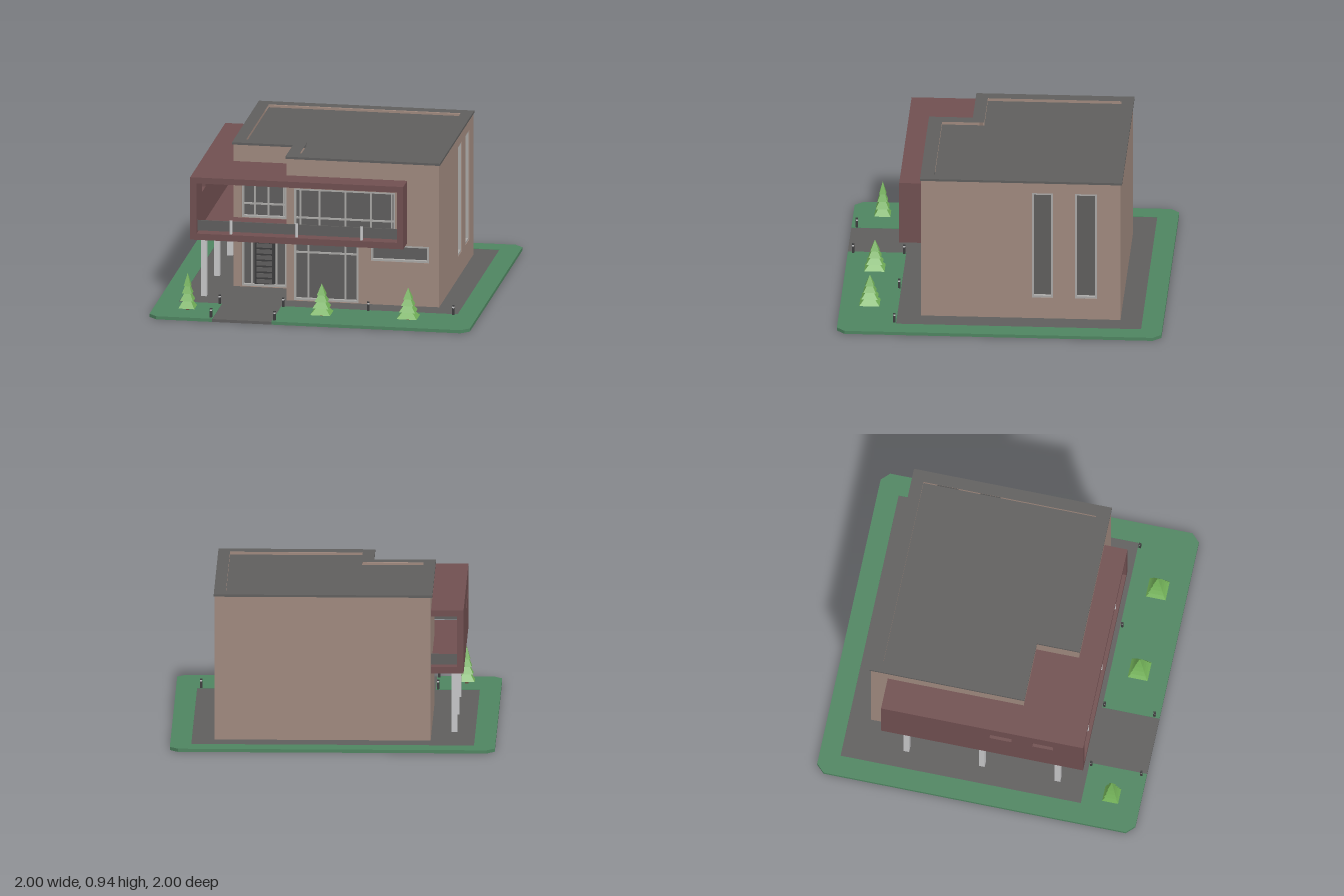
import * as THREE from 'three';

const mat = (name, color) => {
  const m = new THREE.MeshStandardMaterial({ color });
  m.name = name;
  return m;
};

export function createModel() {
  const model = new THREE.Group();
  model.name = 'modernHouse';
  const M = {
    wall: mat('tan render', 0x9f897e),
    red: mat('maroon cladding', 0x704f50),
    slate: mat('slate grey', 0x5f5e5d),
    grass: mat('lawn green', 0x4e8460),
    frame: mat('light grey frame', 0xaaa8a6),
    post: mat('pale column', 0xc6c6c8),
    dark: mat('dark metal', 0x3c3c3d),
    tree: mat('foliage green', 0x72b058),
    trunk: mat('trunk brown', 0x6b5040),
  };

  const add = (name, geo, material, parent = model) => {
    const mesh = new THREE.Mesh(geo, material);
    mesh.name = name;
    parent.add(mesh);
    return mesh;
  };
  // box given by its minimum and maximum on each axis
  const box = (name, x0, x1, y0, y1, z0, z1, material, parent) => {
    const g = new THREE.BoxGeometry(x1 - x0, y1 - y0, z1 - z0);
    g.translate((x0 + x1) / 2, (y0 + y1) / 2, (z0 + z1) / 2);
    return add(name, g, material, parent);
  };
  // horizontal slab from a plan outline of [x, z] points
  const toPath = (pts) => pts.map(([x, z]) => new THREE.Vector2(x, -z));
  const slab = (name, pts, y0, y1, material, hole) => {
    const s = new THREE.Shape(toPath(pts));
    if (hole) s.holes.push(new THREE.Path(toPath(hole)));
    const g = new THREE.ExtrudeGeometry(s, { depth: y1 - y0, bevelEnabled: false });
    g.rotateX(-Math.PI / 2).translate(0, y0, 0);
    return add(name, g, material);
  };
  const rect = (C, u0, u1, y0, y1) => new C([[u0, y0], [u1, y0], [u1, y1], [u0, y1]].map((p) => new THREE.Vector2(...p)));
  // upright wall with openings; its outer face is local z = 0
  const T = 0.04;
  const wall = (name, u0, u1, y0, y1, material, openings, x, z, turn) => {
    const group = new THREE.Group();
    group.name = name;
    const s = rect(THREE.Shape, u0, u1, y0, y1);
    openings.forEach((o) => s.holes.push(rect(THREE.Path, ...o)));
    const g = new THREE.ExtrudeGeometry(s, { depth: T, bevelEnabled: false });
    g.translate(0, 0, -T);
    add(name + 'Panel', g, material, group);
    group.position.set(x, 0, z);
    group.rotation.y = turn;
    model.add(group);
    return group;
  };
  // glass with a frame, uprights and crossbars, set into an opening
  const glaze = (parent, [u0, u1, y0, y1], uprights = [], bars = []) => {
    const w = 0.012;
    box('glass', u0, u1, y0, y1, -0.036, -0.028, M.slate, parent);
    [u0 + w / 2, u1 - w / 2].forEach((u) => box('frameSide', u - w / 2, u + w / 2, y0, y1, -0.028, -0.004, M.frame, parent));
    [y0 + w / 2, y1 - w / 2].forEach((y) => box('frameEnd', u0 + w, u1 - w, y - w / 2, y + w / 2, -0.028, -0.004, M.frame, parent));
    uprights.forEach((u) => box('mullion', u - 0.005, u + 0.005, y0 + w, y1 - w, -0.028, -0.014, M.frame, parent));
    bars.forEach((y) => box('crossbar', u0 + w, u1 - w, y - 0.005, y + 0.005, -0.028, -0.016, M.frame, parent));
  };

  // lawn, paving and entrance path
  slab('lawn', [[-0.6, 1], [-0.95, 1], [-1, 0.95], [-1, -0.95], [-0.95, -1], [0.95, -1], [1, -0.95], [1, 0.95],
    [0.95, 1], [-0.23, 1], [-0.23, 0.64], [0.87, 0.64], [0.87, -0.87], [-0.87, -0.87], [-0.87, 0.64], [-0.6, 0.64]], 0, 0.02, M.grass);
  slab('paving', [[-0.6, 1], [-0.23, 1], [-0.23, 0.64], [0.87, 0.64], [0.87, -0.87], [-0.87, -0.87], [-0.87, 0.64], [-0.6, 0.64]], 0, 0.018, M.slate);

  // house walls around the L-shaped plan
  const L = -0.6, R = 0.73, B = -0.735, F = 0.495, NX = -0.225, NZ = 0.225;
  const y0 = 0.015, y1 = 0.925, H = Math.PI / 2;
  const tall = [[0.19, 0.32, 0.155, 0.855], [0.455, 0.59, 0.155, 0.855]];
  const lounge = [-0.178, 0.225, 0.022, 0.4], upper = [-0.178, 0.455, 0.46, 0.735], strip = [0.302, 0.665, 0.295, 0.4];
  const entry = [-0.55, -0.268, 0.022, 0.4], bedroom = [-0.55, -0.268, 0.46, 0.735];

  const front = wall('frontWall', NX, R, y0, y1, M.wall, [lounge, upper, strip], 0, F, 0);
  glaze(front, lounge, [-0.09, 0.14], [0.325]);
  glaze(front, upper, [-0.14, -0.02, 0.14, 0.3, 0.43], [0.545]);
  glaze(front, strip);
  const recess = wall('entranceWall', L, NX, y0, y1, M.wall, [entry, bedroom], 0, NZ, 0);
  glaze(recess, entry, [-0.49, -0.335], [0.325]);
  glaze(recess, bedroom, [-0.47, -0.385, -0.29], [0.545]);
  const right = wall('sideWall', -F + T, -B - T, y0, y1, M.wall, tall, R, 0, H);
  tall.forEach((o) => glaze(right, o));
  wall('backWall', -R, -L, y0, y1, M.wall, [], 0, B, Math.PI);
  wall('farSideWall', B + T, NZ - T, y0, y1, M.wall, [], L, 0, -H);
  wall('returnWall', NZ - T, F - T, y0, y1, M.wall, [], NX, 0, -H);

  // front door with slats
  box('door', -0.472, -0.348, 0.022, 0.31, -0.028, -0.014, M.dark, recess);
  for (let i = 0; i < 7; i++) {
    const y = 0.04 + i * 0.038;
    box('doorSlat', -0.458, -0.362, y, y + 0.026, -0.014, -0.009, M.slate, recess);
  }

  // roof deck and raised rim
  const rim = [[-0.61, -0.745], [0.735, -0.745], [0.735, 0.5], [-0.23, 0.5], [-0.23, 0.23], [-0.61, 0.23]];
  const inner = [[-0.535, -0.67], [0.662, -0.67], [0.662, 0.415], [-0.155, 0.415], [-0.155, 0.155], [-0.535, 0.155]];
  slab('roofRim', rim, 0.922, 0.936, M.slate, inner);
  slab('roofDeck', inner, 0.9, 0.918, M.slate);

  // wrap-around balcony: floor, canopy and end walls
  const plan = [[-0.8, 0.64], [0.53, 0.64], [0.53, F], [NX, F], [NX, NZ], [L, NZ], [L, -0.63], [-0.8, -0.63]];
  slab('balconyFloor', plan, 0.418, 0.458, M.red);
  slab('balconyCanopy', plan, 0.778, 0.816, M.red);
  wall('balconySideWall', -0.63, 0.64, 0.458, 0.778, M.red, [[0.05, 0.19, 0.67, 0.725], [0.32, 0.45, 0.67, 0.725]], -0.8, 0, -H);
  box('balconyEndWall', 0.492, 0.53, 0.458, 0.778, F, 0.64, M.red);

  // balcony railings
  box('frontRailing', -0.76, 0.492, 0.472, 0.537, 0.605, 0.613, M.slate);
  box('backRailing', -0.76, L, 0.472, 0.537, -0.615, -0.607, M.slate);
  [-0.55, -0.14, 0.265].forEach((x) => {
    const p = add('railingPost', new THREE.CylinderGeometry(0.009, 0.009, 0.087, 12), M.post);
    p.position.set(x, 0.5, 0.615);
  });

  // columns under the balcony
  [-0.48, -0.005, 0.47].forEach((z) => box('column', -0.76, -0.724, 0.018, 0.418, z - 0.018, z + 0.018, M.post));

  // path lights
  [[-0.613, 0.652], [-0.217, 0.652], [0.315, 0.652], [0.845, 0.652], [-0.613, 0.967], [-0.217, 0.967]].forEach(([x, z]) => {
    box('pathLight', x - 0.007, x + 0.007, 0.015, 0.062, z - 0.007, z + 0.007, M.dark);
    box('pathLightLamp', x - 0.006, x + 0.006, 0.062, 0.072, z - 0.006, z + 0.006, M.post);
    box('pathLightCap', x - 0.007, x + 0.007, 0.072, 0.078, z - 0.007, z + 0.007, M.dark);
  });

  // stacked four-sided fir trees
  [[-0.785, 0.1, 0.255], [0.052, 0.125, 0.225], [0.592, 0.125, 0.225]].forEach(([x, width, top]) => {
    const tree = new THREE.Group();
    tree.name = 'firTree';
    tree.position.set(x, 0, 0.817);
    box('trunk', -0.01, 0.01, 0.015, 0.06, -0.01, 0.01, M.trunk, tree);
    const h = top - 0.038;
    for (let i = 0; i < 4; i++) {
      const r = (width / 2) * Math.SQRT2 * (1 - i * 0.19);
      const tier = new THREE.CylinderGeometry(i < 3 ? r * 0.42 : 0, r, h * (i < 3 ? 0.23 : 0.37), 4).toNonIndexed();
      tier.rotateY(Math.PI / 4).translate(0, 0.038 + h * (i < 3 ? i * 0.21 + 0.115 : 0.815), 0);
      tier.computeVertexNormals();
      add('foliageTier', tier, M.tree, tree);
    }
    model.add(tree);
  });

  return model;
}
